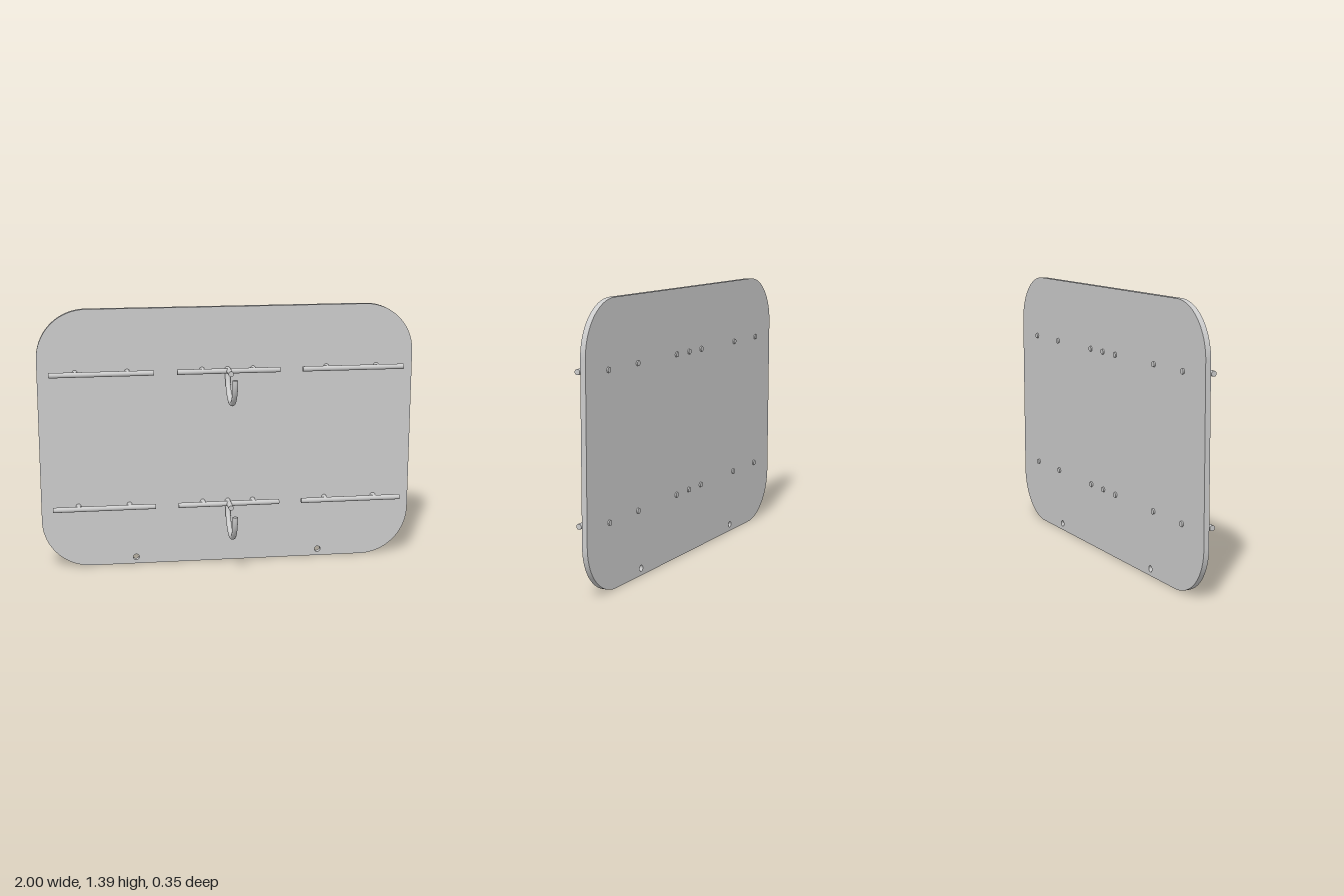
import * as THREE from 'three';

const material = new THREE.MeshStandardMaterial({ color: 0xcccccc });
const ROD = 0.0138;      // radius of all rods
const BACK = -0.176;     // pins poke slightly through the panel
const RAIL_Z = -0.085;

function addMesh(parent, name, geometry, x = 0, y = 0, z = 0) {
  const mesh = new THREE.Mesh(geometry, material);
  mesh.name = name;
  mesh.position.set(x, y, z);
  parent.add(mesh);
  return mesh;
}

// Rounded rectangular panel with two mounting holes near the bottom
function panelGeometry() {
  const w = 1, h = 1.395, r = 0.26;
  const shape = new THREE.Shape();
  shape.absarc(w - r, r, r, -Math.PI / 2, 0, false);
  shape.absarc(w - r, h - r, r, 0, Math.PI / 2, false);
  shape.absarc(-w + r, h - r, r, Math.PI / 2, Math.PI, false);
  shape.absarc(-w + r, r, r, Math.PI, Math.PI * 1.5, false);
  shape.closePath();
  for (const x of [-0.5, 0.5]) {
    const hole = new THREE.Path();
    hole.absarc(x, 0.036, 0.016, 0, Math.PI * 2, true);
    shape.holes.push(hole);
  }
  return new THREE.ExtrudeGeometry(shape, { depth: 0.028, bevelEnabled: false, curveSegments: 24 });
}

// Rod along z between two depths
function addPin(parent, name, x, zFront) {
  const length = zFront - BACK;
  const geometry = new THREE.CylinderGeometry(ROD, ROD, length, 24).rotateX(Math.PI / 2);
  addMesh(parent, name, geometry, x, 0, (zFront + BACK) / 2);
}

// Half-ring hook hanging below the centre pin, with closed ends
function addHook(parent) {
  const hook = new THREE.Group();
  hook.name = 'hook';
  hook.position.z = 0.013;
  const radius = 0.15;
  const arc = new THREE.TorusGeometry(radius, ROD, 16, 40, Math.PI).rotateX(Math.PI).rotateY(Math.PI / 2);
  addMesh(hook, 'hookArc', arc);
  for (const z of [-radius, radius]) {
    addMesh(hook, 'hookEnd', new THREE.CircleGeometry(ROD, 16).rotateX(-Math.PI / 2), 0, 0, z);
  }
  parent.add(hook);
}

// One row: three rails on pairs of pins, plus the centre pin and hook
function createRow(y) {
  const row = new THREE.Group();
  row.name = 'hookRow';
  row.position.y = y;
  for (const x of [-0.667, 0, 0.667]) {
    const rail = new THREE.CylinderGeometry(ROD, ROD, 0.545, 24).rotateZ(Math.PI / 2);
    addMesh(row, 'rail', rail, x, 0, RAIL_Z);
    for (const side of [-1, 1]) addPin(row, 'railPin', x + side * 0.136, RAIL_Z);
  }
  addPin(row, 'centrePin', 0, 0.003);
  addHook(row);
  return row;
}

export function createModel() {
  const model = new THREE.Group();
  model.name = 'wallRack';
  addMesh(model, 'panel', panelGeometry(), 0, 0, -0.168);
  for (const y of [0.336, 1.063]) model.add(createRow(y));
  return model;
}
